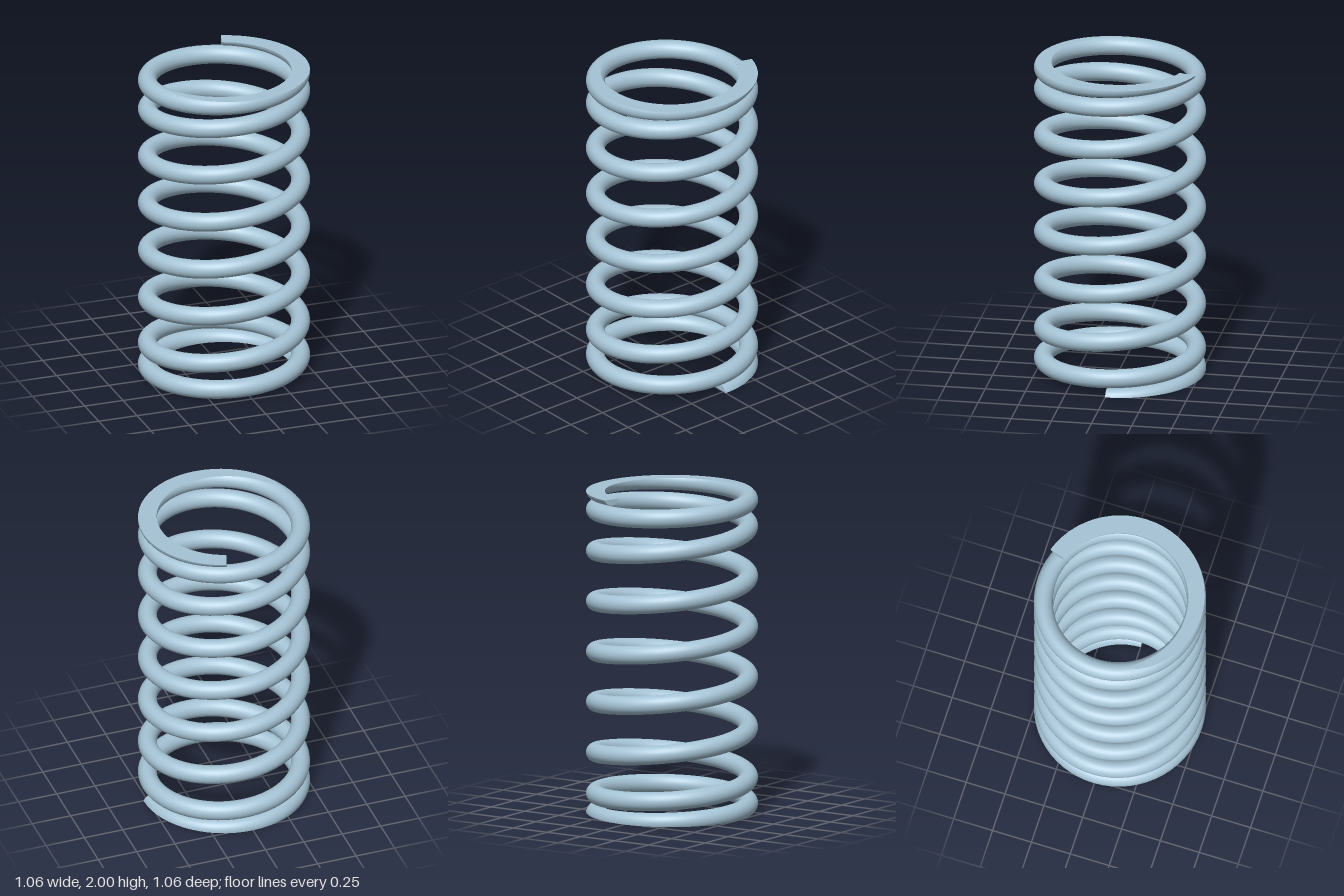
import * as THREE from 'three';

const COIL = 0.47;      // radius of the coil's centre line
const WIRE = 0.058;     // radius of the wire
const HEIGHT = 2;
const HALF_TURNS = 16.4;
const STEPS = 492;      // sections along the wire
const ARC = 14;         // facets on each half of a section

// Height of the wire's centre, u in half turns: close-wound ends, open middle
function centreHeight(u) {
  const mid = HALF_TURNS / 2;
  const d = Math.abs(u - mid);
  const open = 0.157, closed = 0.0615, from = 4.8, to = 6.0;
  const drop = (open - closed) / (to - from);
  let h = open * d;
  if (d > from) {
    const e = Math.min(d, to) - from;
    h -= drop * e * e / 2;
    if (d > to) h -= (open - closed) * (d - to);
  }
  return HEIGHT / 2 + Math.sign(u - mid) * h;
}

// Section i: angle round the coil, and the arc left between the ground planes
function section(i) {
  const u = HALF_TURNS * i / STEPS;
  const h = centreHeight(u);
  const cut = (y) => Math.asin(THREE.MathUtils.clamp((y - h) / WIRE, -1, 1));
  return { t: u * Math.PI, h, lo: cut(0), hi: cut(HEIGHT) };
}

// Point on a section; side is +1 for the outer half, -1 for the inner half
function wirePoint(s, phi, side) {
  const rho = COIL + side * WIRE * Math.cos(phi);
  return new THREE.Vector3(rho * Math.cos(s.t), s.h + WIRE * Math.sin(phi), -rho * Math.sin(s.t));
}

function wireNormal(s, phi, side) {
  const c = side * Math.cos(phi);
  return new THREE.Vector3(c * Math.cos(s.t), Math.sin(phi), -c * Math.sin(s.t));
}

// Grid surface; sample(i, j) gives [point, normal], faces turn toward the normals
function gridSurface(rows, cols, sample) {
  const points = [], normals = [], index = [];
  for (let i = 0; i <= rows; i++) {
    for (let j = 0; j <= cols; j++) {
      const [p, n] = sample(i, j);
      points.push(p);
      normals.push(n);
    }
  }
  const face = (a, b, c) => {
    const ab = points[b].clone().sub(points[a]);
    const ac = points[c].clone().sub(points[a]);
    const n = ab.cross(ac);
    if (n.length() < 1e-9) return;
    if (n.dot(normals[a].clone().add(normals[b]).add(normals[c])) > 0) index.push(a, b, c);
    else index.push(a, c, b);
  };
  for (let i = 0; i < rows; i++) {
    for (let j = 0; j < cols; j++) {
      const a = i * (cols + 1) + j, b = a + cols + 1;
      face(a, b, a + 1);
      face(b, b + 1, a + 1);
    }
  }
  const flat = (list) => new THREE.Float32BufferAttribute(list.flatMap((v) => v.toArray()), 3);
  const geometry = new THREE.BufferGeometry();
  geometry.setAttribute('position', flat(points));
  geometry.setAttribute('normal', flat(normals));
  geometry.setIndex(index);
  return geometry;
}

export function createModel() {
  const spring = new THREE.Group();
  spring.name = 'coilSpring';
  const steel = new THREE.MeshStandardMaterial({ color: 0xa5c3d5 });
  steel.name = 'blueSteel';

  const sections = Array.from({ length: STEPS + 1 }, (_, i) => section(i));
  const add = (name, geometry) => {
    const mesh = new THREE.Mesh(geometry, steel);
    mesh.name = name;
    spring.add(mesh);
  };
  const phiAt = (s, j) => THREE.MathUtils.lerp(s.lo, s.hi, j / ARC);

  // Round wire, outer and inner halves
  for (const [name, side] of [['outerWire', 1], ['innerWire', -1]]) {
    add(name, gridSurface(STEPS, ARC, (i, j) => {
      const s = sections[i], phi = phiAt(s, j);
      return [wirePoint(s, phi, side), wireNormal(s, phi, side)];
    }));
  }

  // Flat ground faces at the top and bottom
  for (const [name, key, up] of [['topGroundFace', 'hi', 1], ['bottomGroundFace', 'lo', -1]]) {
    add(name, gridSurface(STEPS, 1, (i, j) => {
      const s = sections[i];
      return [wirePoint(s, s[key], j ? 1 : -1), new THREE.Vector3(0, up, 0)];
    }));
  }

  // Cut ends of the wire
  for (const [name, i, dir] of [['lowerWireEnd', 0, -1], ['upperWireEnd', STEPS, 1]]) {
    const s = sections[i];
    const normal = new THREE.Vector3(-Math.sin(s.t), 0, -Math.cos(s.t)).multiplyScalar(dir);
    add(name, gridSurface(ARC, 1, (j, k) => [wirePoint(s, phiAt(s, j), k ? 1 : -1), normal]));
  }
  return spring;
}
